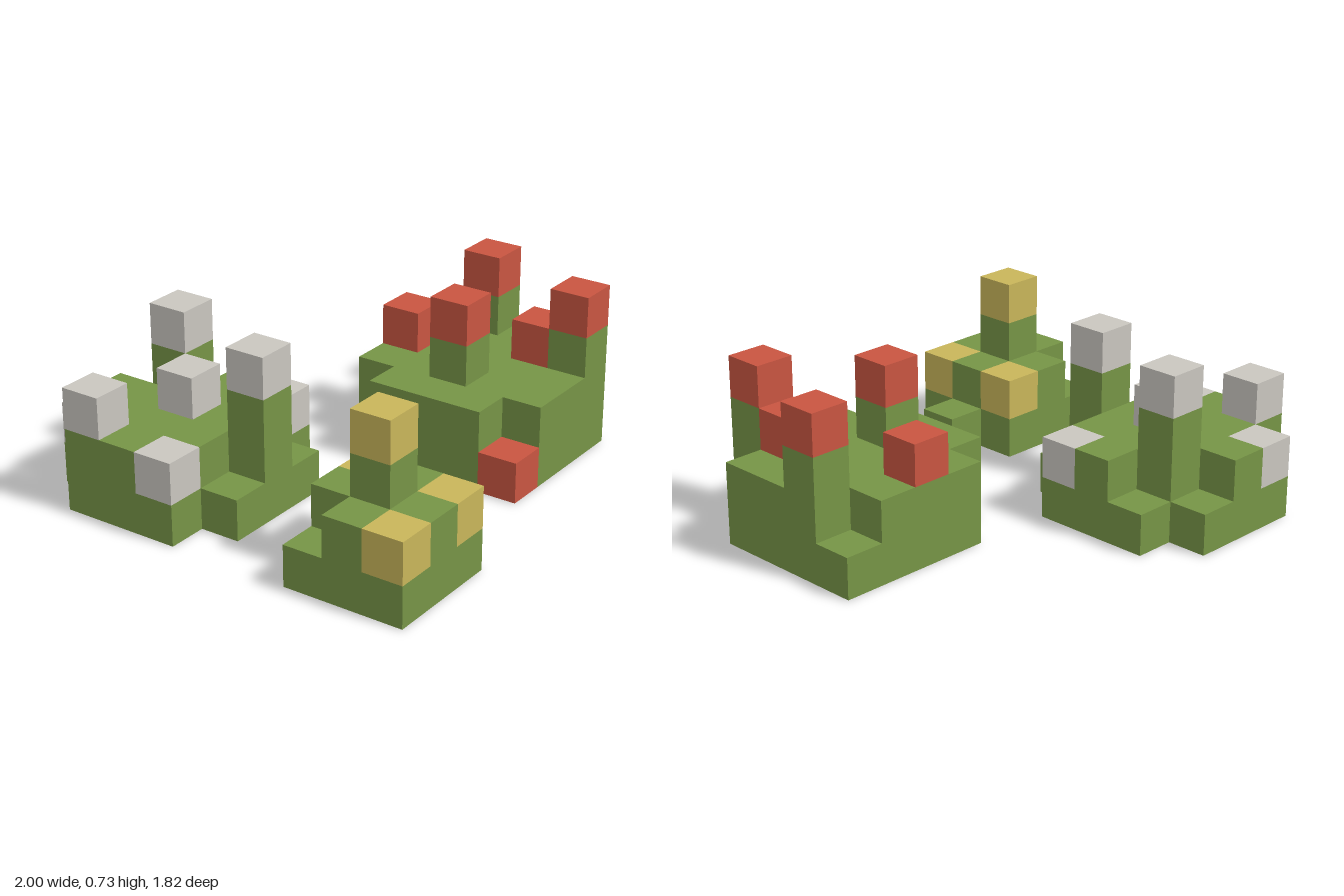
import * as THREE from 'three';
import { mergeGeometries } from 'three/addons/utils/BufferGeometryUtils.js';

const U = 2 / 11; // block size; the layout is 11 blocks wide and 10 deep

// One island per entry: heights in blocks, rows from back to front, '.' is empty.
// Tips are the columns whose top block takes the accent colour.
const ISLANDS = [
  {
    name: 'stoneIsland', accent: 'stone', x: 0, z: 0,
    rows: ['.221.', '32241', '22322', '22222', '.141.'],
    tips: [[1, 0], [0, 1], [3, 1], [2, 2], [0, 3], [4, 3], [2, 4]],
  },
  {
    name: 'yellowIsland', accent: 'yellow', x: 0, z: 7,
    rows: ['122.', '2421', '222.'],
    tips: [[2, 0], [1, 1], [0, 2], [2, 2]],
  },
  {
    name: 'redIsland', accent: 'red', x: 6, z: 4,
    rows: ['.2321', '22224', '24222', '22232', '1224.'],
    tips: [[2, 0], [4, 1], [1, 2], [3, 3], [0, 4], [3, 4]],
  },
];

// Outward direction and rotation of each block side
const Q = Math.PI / 2;
const SIDES = [
  { d: [0, 0, 1], r: [0, 0] }, { d: [0, 0, -1], r: [0, 2 * Q] },
  { d: [1, 0, 0], r: [0, Q] }, { d: [-1, 0, 0], r: [0, -Q] },
  { d: [0, 1, 0], r: [-Q, 0] }, { d: [0, -1, 0], r: [Q, 0] },
];

function side({ d, r }, x, y, z) {
  return new THREE.PlaneGeometry(U, U)
    .rotateX(r[0]).rotateY(r[1])
    .translate(
      (x + 0.5 + d[0] / 2) * U - 1,
      (y + 0.5 + d[1] / 2) * U,
      (z + 0.5 + d[2] / 2) * U - 5 * U,
    );
}

function buildIsland(island, materials) {
  const height = (x, z) => Number(island.rows[z]?.[x]) || 0;
  const isTip = (x, z) => island.tips.some(([a, b]) => a === x && b === z);
  const ground = [], tips = [];

  // Keep only the block sides that touch open air
  island.rows.forEach((row, z) => {
    for (let x = 0; x < row.length; x++) {
      const h = height(x, z);
      for (let y = 0; y < h; y++) {
        const list = y === h - 1 && isTip(x, z) ? tips : ground;
        for (const s of SIDES) {
          const ny = y + s.d[1];
          const covered = ny >= 0 && ny < height(x + s.d[0], z + s.d[2]);
          if (!covered) list.push(side(s, x + island.x, y, z + island.z));
        }
      }
    }
  });

  const group = new THREE.Group();
  group.name = island.name;
  const base = new THREE.Mesh(mergeGeometries(ground), materials.grass);
  base.name = 'grassBlocks';
  const caps = new THREE.Mesh(mergeGeometries(tips), materials[island.accent]);
  caps.name = island.accent + 'Blocks';
  group.add(base, caps);
  return group;
}

export function createModel() {
  const colours = { grass: 0x769446, stone: 0xc9c6bf, red: 0xc85541, yellow: 0xc8b55a };
  const materials = {};
  for (const [name, color] of Object.entries(colours)) {
    materials[name] = new THREE.MeshStandardMaterial({ color });
    materials[name].name = name;
  }

  const model = new THREE.Group();
  model.name = 'blockIslands';
  for (const island of ISLANDS) model.add(buildIsland(island, materials));
  return model;
}
